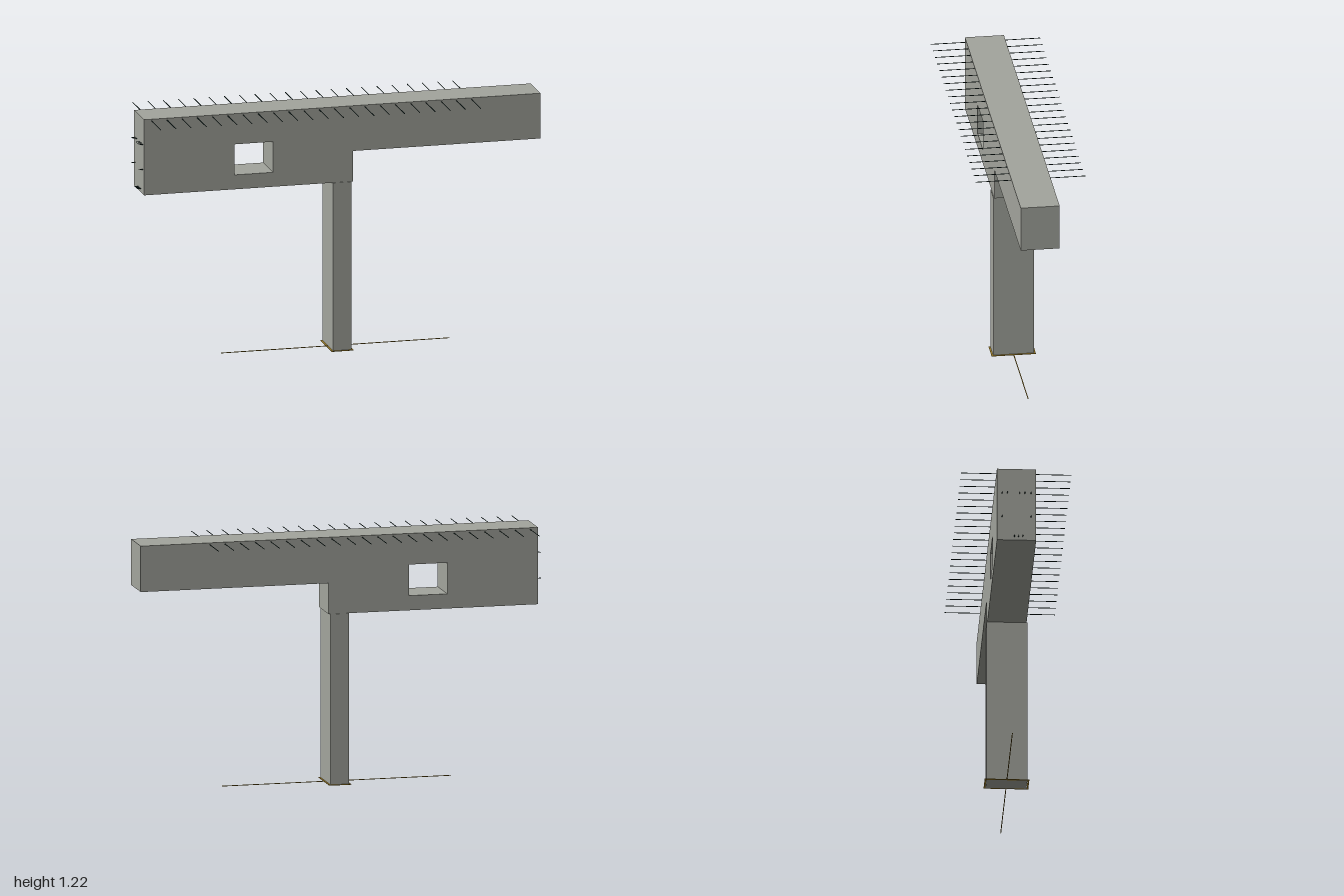
import * as THREE from 'three';

const concrete = new THREE.MeshStandardMaterial({ color: 0xa3a59d });
const steel = new THREE.MeshStandardMaterial({ color: 0x1c3330 });
const brass = new THREE.MeshStandardMaterial({ color: 0xa8862a });

// Box given by its minimum and maximum corners
function block(name, min, max, material) {
  const size = max.map((v, i) => v - min[i]);
  const mesh = new THREE.Mesh(new THREE.BoxGeometry(...size), material);
  mesh.position.set(...max.map((v, i) => (v + min[i]) / 2));
  mesh.name = name;
  return mesh;
}

// Thin round bar between two points
function bar(name, a, b, radius, material) {
  const start = new THREE.Vector3(...a), end = new THREE.Vector3(...b);
  const dir = end.clone().sub(start);
  const mesh = new THREE.Mesh(new THREE.CylinderGeometry(radius, radius, dir.length(), 6), material);
  mesh.position.copy(start).add(end).multiplyScalar(0.5);
  mesh.quaternion.setFromUnitVectors(new THREE.Vector3(0, 1, 0), dir.normalize());
  mesh.name = name;
  return mesh;
}

export function createModel() {
  const model = new THREE.Group();
  model.name = 'steppedBeamOnColumn';

  // Beam: deep end on the right, shallow cantilever on the left, with a square opening
  const outline = [[-0.98, 0.842], [0.064, 0.842], [0.064, 0.994], [1, 0.994], [1, 1.22], [-0.98, 1.22]];
  const opening = [[-0.528, 0.914], [-0.528, 1.067], [-0.336, 1.067], [-0.336, 0.914]];
  const toPoints = (list) => list.map(([x, y]) => new THREE.Vector2(x, y));
  const shape = new THREE.Shape(toPoints(outline));
  shape.holes.push(new THREE.Path(toPoints(opening)));
  const beamGeometry = new THREE.ExtrudeGeometry(shape, { depth: 0.19, bevelEnabled: false });
  beamGeometry.translate(0, 0, -0.095);
  const beam = new THREE.Mesh(beamGeometry, concrete);
  beam.name = 'beam';
  model.add(beam);

  // Column
  model.add(block('column', [-0.038, 0, -0.099], [0.055, 0.842, 0.099], concrete));

  // Cross bars projecting from both sides of the beam top
  const crossBars = new THREE.Group();
  crossBars.name = 'crossBars';
  for (let i = 0; i < 22; i++) {
    const x = -0.942 + i * 0.0761;
    crossBars.add(bar('crossBar', [x, 1.211, -0.267], [x, 1.211, 0.267], 0.002, steel));
  }
  model.add(crossBars);

  // Short bar ends at the deep end of the beam
  const barEnds = new THREE.Group();
  barEnds.name = 'barEnds';
  const rows = [[1.09, [-0.07, -0.045, 0.015, 0.04, 0.07]], [0.965, [-0.07, 0.07]], [0.86, [-0.01, 0.01, 0.03]]];
  for (const [y, zs] of rows) {
    for (const z of zs) barEnds.add(bar('barEnd', [-1, y, z], [-0.97, y, z], 0.002, steel));
  }
  model.add(barEnds);

  // Fine frame around the column foot and the long ground bar through it
  const foot = new THREE.Group();
  foot.name = 'footFrame';
  for (const z of [-0.104, 0.104]) {
    foot.add(block('footRail', [-0.046, 0, z - 0.004], [0.063, 0.003, z + 0.004], brass));
  }
  for (const x of [-0.042, 0.059]) {
    foot.add(block('footSide', [x - 0.004, 0, -0.1], [x + 0.004, 0.003, 0.1], brass));
  }
  model.add(foot);
  model.add(block('groundBar', [-0.57, 0.0005, -0.002], [0.57, 0.0035, 0.002], brass));

  return model;
}
